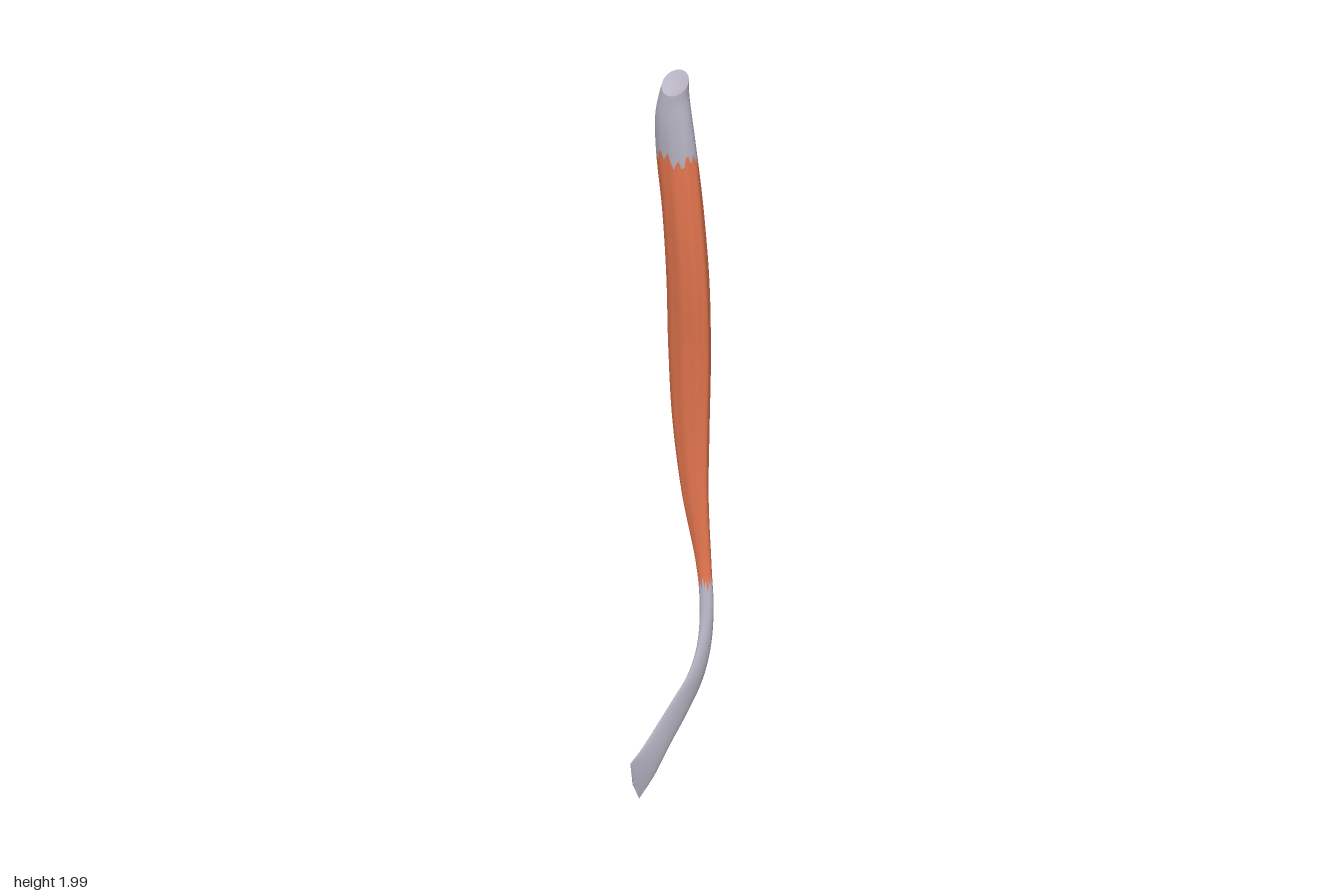
import * as THREE from 'three';

// Cross-sections: height, centre x, centre z, half width x, half depth z, skew, rise towards the front
const sections = [
  [0.06, -0.047, 0.107, 0.004, 0.015, -0.9, 0.053],
  [0.10, -0.031, 0.078, 0.010, 0.018, -0.9, 0.040],
  [0.17, -0.010, 0.035, 0.012, 0.016, -0.8, 0.030],
  [0.25, 0.019, -0.003, 0.014, 0.018, -0.7, 0.020],
  [0.32, 0.043, -0.031, 0.014, 0.020, -0.5, 0.010],
  [0.40, 0.054, -0.056, 0.014, 0.019, -0.3, 0.005],
  [0.50, 0.049, -0.077, 0.019, 0.016, 0, 0],
  [0.60, 0.033, -0.089, 0.022, 0.016, 0.1, 0],
  [0.80, 0.003, -0.090, 0.043, 0.025, 0.2, 0],
  [1.00, -0.009, -0.088, 0.061, 0.035, 0.25, 0],
  [1.20, -0.006, -0.078, 0.071, 0.043, 0.3, 0],
  [1.40, 0.002, -0.060, 0.073, 0.050, 0.35, 0],
  [1.60, 0.001, -0.040, 0.069, 0.050, 0.3, 0],
  [1.78, -0.004, -0.018, 0.064, 0.040, 0.15, 0],
  [1.88, -0.006, -0.008, 0.053, 0.034, 0, -0.006],
  [1.94, -0.004, -0.006, 0.043, 0.031, 0, -0.018],
  [1.973, 0.001, -0.005, 0.038, 0.029, 0, -0.027],
];
const LOW = 0.06, HIGH = 1.973, AROUND = 48;

const curve = new THREE.CubicInterpolant(
  sections.map(s => s[0]), sections.flatMap(s => s.slice(1)), 6, new Float32Array(6));

// Point on the surface at height h and angle t; scale shrinks the ring for the caps
function pointAt(h, t, scale = 1) {
  const [cx, cz, a, b, skew, rise] = curve.evaluate(h);
  const belly = THREE.MathUtils.smoothstep(h, 0.6, 0.9) * (1 - THREE.MathUtils.smoothstep(h, 1.7, 1.9));
  const ridge = scale * (1 - belly * 0.025 * (1 + Math.cos(9 * t + 2 * h)));
  const s = Math.sin(t + skew);
  return [cx + a * ridge * Math.cos(t), h + rise * scale * s, cz + b * ridge * s];
}

// Surface from rows of closed rings, ordered bottom to top
function ringSurface(rows, pointOf) {
  const positions = [], index = [];
  for (let i = 0; i <= rows; i++)
    for (let j = 0; j < AROUND; j++) positions.push(...pointOf(i / rows, j));
  for (let i = 0; i < rows; i++)
    for (let j = 0; j < AROUND; j++) {
      const p = i * AROUND + j, q = i * AROUND + (j + 1) % AROUND;
      index.push(p, p + AROUND, q, q, p + AROUND, q + AROUND);
    }
  const geometry = new THREE.BufferGeometry();
  geometry.setAttribute('position', new THREE.Float32BufferAttribute(positions, 3));
  geometry.setIndex(index);
  geometry.computeVertexNormals();
  return geometry;
}

const angle = j => (j / AROUND) * Math.PI * 2;

// Ragged borders between the muscle and its tendons
const lowerBorder = j => 0.57 + 0.014 * Math.sin(j * 1.9) + 0.008 * Math.sin(j * 0.8);
const upperBorder = j => 1.765 + 0.016 * Math.sin(j * 1.7) + 0.012 * Math.sin(j * 0.55);

export function createModel() {
  const group = new THREE.Group();
  const tendon = new THREE.MeshStandardMaterial({ color: 0xb8b4c4, side: THREE.DoubleSide });
  const muscle = new THREE.MeshStandardMaterial({ color: 0xe87850, side: THREE.DoubleSide });

  const add = (name, geometry, material) => {
    const mesh = new THREE.Mesh(geometry, material);
    mesh.name = name;
    group.add(mesh);
  };
  const tube = (from, to, rows) => ringSurface(rows, (v, j) =>
    pointAt(THREE.MathUtils.lerp(from(j), to(j), v), angle(j)));

  add('lowerTendon', tube(() => LOW, lowerBorder, 50), tendon);
  add('muscleBelly', tube(lowerBorder, upperBorder, 90), muscle);
  add('upperTendon', tube(upperBorder, () => HIGH, 24), tendon);

  // Hollowed upper attachment
  add('upperAttachment', ringSurface(8, (v, j) => {
    const p = pointAt(HIGH, angle(j), 1 - v);
    p[1] -= 0.012 * Math.sin(v * Math.PI / 2);
    return p;
  }), tendon);

  // Frayed lower attachment
  add('lowerAttachment', ringSurface(4, (v, j) => {
    const p = pointAt(LOW, angle(j), v);
    const fray = (1 - v) * (0.5 + 0.5 * Math.sin(j * 1.3));
    return [p[0] - 0.002 * fray, p[1] - 0.006 * fray, p[2] + 0.008 * fray];
  }), tendon);

  return group;
}
